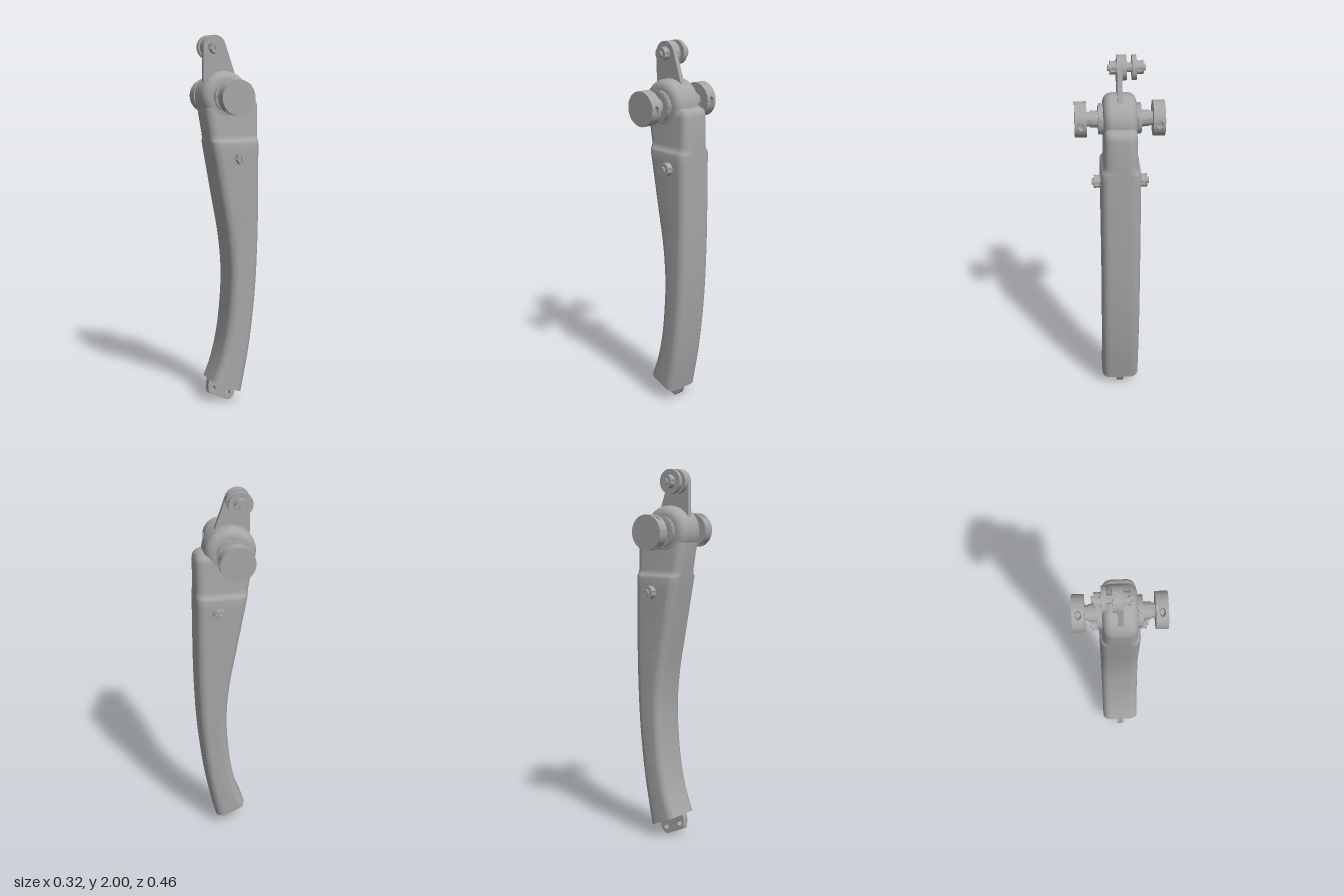
import * as THREE from 'three';
import { toCreasedNormals, mergeGeometries } from 'three/addons/utils/BufferGeometryUtils.js';

const metal = new THREE.MeshStandardMaterial({ color: 0xa6a6a6 });
metal.name = 'grey metal';

function part(name, geometry, x = 0, y = 0, z = 0, crease = 0.6) {
  const mesh = new THREE.Mesh(toCreasedNormals(geometry, crease), metal);
  mesh.name = name;
  mesh.position.set(x, y, z);
  return mesh;
}

// Turned shape around the z axis; profile is [radius, z] from back to front
function turned(profile, segments = 48) {
  const pts = profile.map(([r, z]) => new THREE.Vector2(r, z));
  return new THREE.LatheGeometry(pts, segments).rotateX(Math.PI / 2);
}
const disc = (r, z0, z1) => turned([[0, z0], [r, z0], [r, z1], [0, z1]]);

// Drum along z with radial pits pressed into its rim and an optional waist
function pittedDrum(r, length, angles, pitWidth, pitHeight, depth, waist = 0) {
  const side = new THREE.CylinderGeometry(r, r, length, 120, 15, true).rotateX(Math.PI / 2);
  const p = side.attributes.position;
  for (let i = 0; i < p.count; i++) {
    const a = Math.atan2(p.getY(i), p.getX(i)), z = p.getZ(i);
    let radius = r * (1 - waist * (1 - (2 * z / length) ** 2));
    for (const pit of angles) {
      const d = Math.atan2(Math.sin(a - pit), Math.cos(a - pit)) * r;
      if ((d / pitWidth) ** 2 + (z / pitHeight) ** 2 < 1) radius = r - depth;
    }
    p.setXY(i, Math.cos(a) * radius, Math.sin(a) * radius);
  }
  const front = new THREE.CircleGeometry(r, 120).translate(0, 0, length / 2);
  const back = new THREE.CircleGeometry(r, 120).rotateY(Math.PI).translate(0, 0, -length / 2);
  return mergeGeometries([side, front, back]);
}

// Rounded-rectangle loft between left and right edge points
function loft(sections, cornerSteps = 7) {
  const pos = [], idx = [], n = cornerSteps * 4 + 4;
  for (const { L, R, hz, r } of sections) {
    const c = L.clone().add(R).multiplyScalar(0.5);
    const u = R.clone().sub(L), hl = u.length() / 2;
    u.normalize();
    for (let q = 0; q < 4; q++) {
      const su = q === 0 || q === 3 ? 1 : -1, sz = q < 2 ? 1 : -1;
      for (let k = 0; k <= cornerSteps; k++) {
        const a = (q + k / cornerSteps) * Math.PI / 2;
        const d = su * (hl - r) + r * Math.cos(a);
        pos.push(c.x + u.x * d, c.y + u.y * d, sz * (hz - r) + r * Math.sin(a));
      }
    }
  }
  const last = sections.length - 1;
  for (let s = 0; s < last; s++) for (let i = 0; i < n; i++) {
    const j = (i + 1) % n, a = s * n + i, b = s * n + j;
    idx.push(a, a + n, b, b, a + n, b + n);
  }
  for (let i = 1; i < n - 1; i++) {
    idx.push(0, i, i + 1);
    idx.push(last * n, last * n + i + 1, last * n + i);
  }
  const g = new THREE.BufferGeometry();
  g.setAttribute('position', new THREE.Float32BufferAttribute(pos, 3));
  g.setIndex(idx);
  return g;
}

// Flat plate centred on z = 0, with round holes [x, y, radius]
function plate(shape, thickness, holes = []) {
  for (const [x, y, r] of holes) {
    const path = new THREE.Path();
    path.absarc(x, y, r, 0, Math.PI * 2, true);
    shape.holes.push(path);
  }
  return new THREE.ExtrudeGeometry(shape, { depth: thickness, bevelEnabled: false, curveSegments: 24 })
    .translate(0, 0, -thickness / 2);
}

export function createModel() {
  const model = new THREE.Group();
  model.name = 'lever arm';
  const hubX = -0.027, hubY = 1.677, pinX = -0.071, pinY = 1.936;
  const quarter = [0, 1, 2, 3].map(i => i * Math.PI / 2);
  const third = [0, 1, 2].map(i => i * Math.PI * 2 / 3);

  // Curved arm: left and right edge of each station
  const stations = [
    [-0.108, 0.13, 0.055, 0.06], [-0.07, 0.23, 0.078, 0.17], [-0.035, 0.37, 0.102, 0.3],
    [-0.012, 0.55, 0.125, 0.47], [-0.005, 0.73, 0.144, 0.67], [-0.022, 0.92, 0.155, 0.91],
    [-0.06, 1.13, 0.158, 1.13], [-0.115, 1.43, 0.158, 1.43],
  ];
  const left = new THREE.CatmullRomCurve3(stations.map(s => new THREE.Vector3(s[0], s[1], 0)));
  const right = new THREE.CatmullRomCurve3(stations.map(s => new THREE.Vector3(s[2], s[3], 0)));
  const sections = [];
  for (let i = 0; i <= 42; i++) {
    sections.push({ L: left.getPoint(i / 42), R: right.getPoint(i / 42), hz: 0.104, r: 0.045 });
  }
  // Step to the narrower head end and its rounded top: [y, half depth, inset]
  const upper = [
    [1.442, 0.101, 0], [1.45, 0.093, 0], [1.46, 0.088, 0], [1.475, 0.085, 0], [1.63, 0.085, 0],
    [1.65, 0.082, 0.004], [1.664, 0.075, 0.013], [1.672, 0.065, 0.024], [1.675, 0.053, 0.038],
  ];
  for (const [y, hz, inset] of upper) {
    sections.push({
      L: new THREE.Vector3(-0.115 - (y - 1.43) * 0.175 + inset, y, 0),
      R: new THREE.Vector3(0.158 - inset, y, 0), hz, r: 0.045 - inset * 0.3,
    });
  }
  model.add(part('arm', loft(sections), 0, 0, 0, 0.55));

  // Round head with softened rims
  const rim = [];
  for (let i = 0; i <= 8; i++) {
    const a = i / 8 * Math.PI / 2;
    rim.push([0.088 + 0.046 * Math.sin(a), -0.04 - 0.046 * Math.cos(a)]);
  }
  const headProfile = [[0, -0.086], ...rim, ...rim.map(([r, z]) => [r, -z]).reverse(), [0, 0.086]];
  model.add(part('head', turned(headProfile, 72), hubX, hubY));

  // Hub rings, shafts and knobs on both sides
  for (const side of [1, -1]) {
    const hub = new THREE.Group();
    hub.name = side > 0 ? 'frontHub' : 'backHub';
    const stack = [[0, 0.08]];
    for (let i = 0; i < 3; i++) {
      const z = 0.084 + i * 0.009;
      stack.push([0.08, z], [0.08, z + 0.006], [0.074, z + 0.006], [0.074, z + 0.009]);
    }
    stack.push([0, 0.111]);
    const shaft = [[0, 0.1], [0.043, 0.1], [0.043, 0.151], [0.037, 0.151], [0.037, 0.175], [0, 0.175]];
    const orient = p => side > 0 ? p : p.map(([r, z]) => [r, -z]).reverse();
    hub.add(part('washers', turned(orient(stack))));
    hub.add(part('shaft', turned(orient(shaft))));
    hub.add(part('knob', pittedDrum(0.092, 0.061, third, 0.021, 0.012, 0.02), 0, 0, side * 0.2005));
    hub.position.set(hubX, hubY, 0);
    model.add(hub);
  }

  // Waisted collar nut with a pin end
  function collar(name, x, y, z, side) {
    const nut = new THREE.Group();
    nut.name = name;
    nut.add(part('collar', pittedDrum(0.036, 0.037, quarter, 0.011, 0.011, 0.009, 0.07), 0, 0, side * 0.0185));
    nut.add(part('pinEnd', disc(0.017, -0.006, 0.006), 0, 0, side * 0.042));
    nut.position.set(x, y, z);
    model.add(nut);
  }
  collar('frontBolt', 0.043, 1.355, 0.102, 1);
  collar('backBolt', 0.043, 1.355, -0.102, -1);

  // Upper lug rising out of the head
  const lug = new THREE.Shape();
  lug.moveTo(-0.135, 1.68);
  lug.lineTo(0.085, 1.68);
  lug.lineTo(pinX + 0.064 * Math.cos(0.33), pinY + 0.064 * Math.sin(0.33));
  lug.absarc(pinX, pinY, 0.064, 0.33, Math.PI, false);
  lug.closePath();
  model.add(part('upperLug', plate(lug, 0.025)));

  // Cross pin with boss, washer and collars
  model.add(part('lugBoss', disc(0.064, -0.037, 0.012), pinX, pinY));
  model.add(part('crossPin', disc(0.023, -0.09, 0.02), pinX, pinY));
  model.add(part('pinWasher', disc(0.064, -0.087, -0.064), pinX, pinY));
  collar('frontPinCollar', pinX, pinY, 0.011, 1);
  collar('backPinCollar', pinX, pinY, -0.086, -1);

  // Drilled tab at the foot
  const tab = new THREE.Shape();
  [[-0.104, 0.14], [-0.116, 0.1], [-0.112, 0.053], [-0.103, 0.046], [-0.005, 0.002], [0.01, 0.002],
    [0.034, 0.022], [0.052, 0.07]].forEach(([x, y], i) => i ? tab.lineTo(x, y) : tab.moveTo(x, y));
  tab.closePath();
  model.add(part('footTab', plate(tab, 0.036, [[-0.086, 0.077, 0.014], [0.003, 0.04, 0.014]])));

  return model;
}
